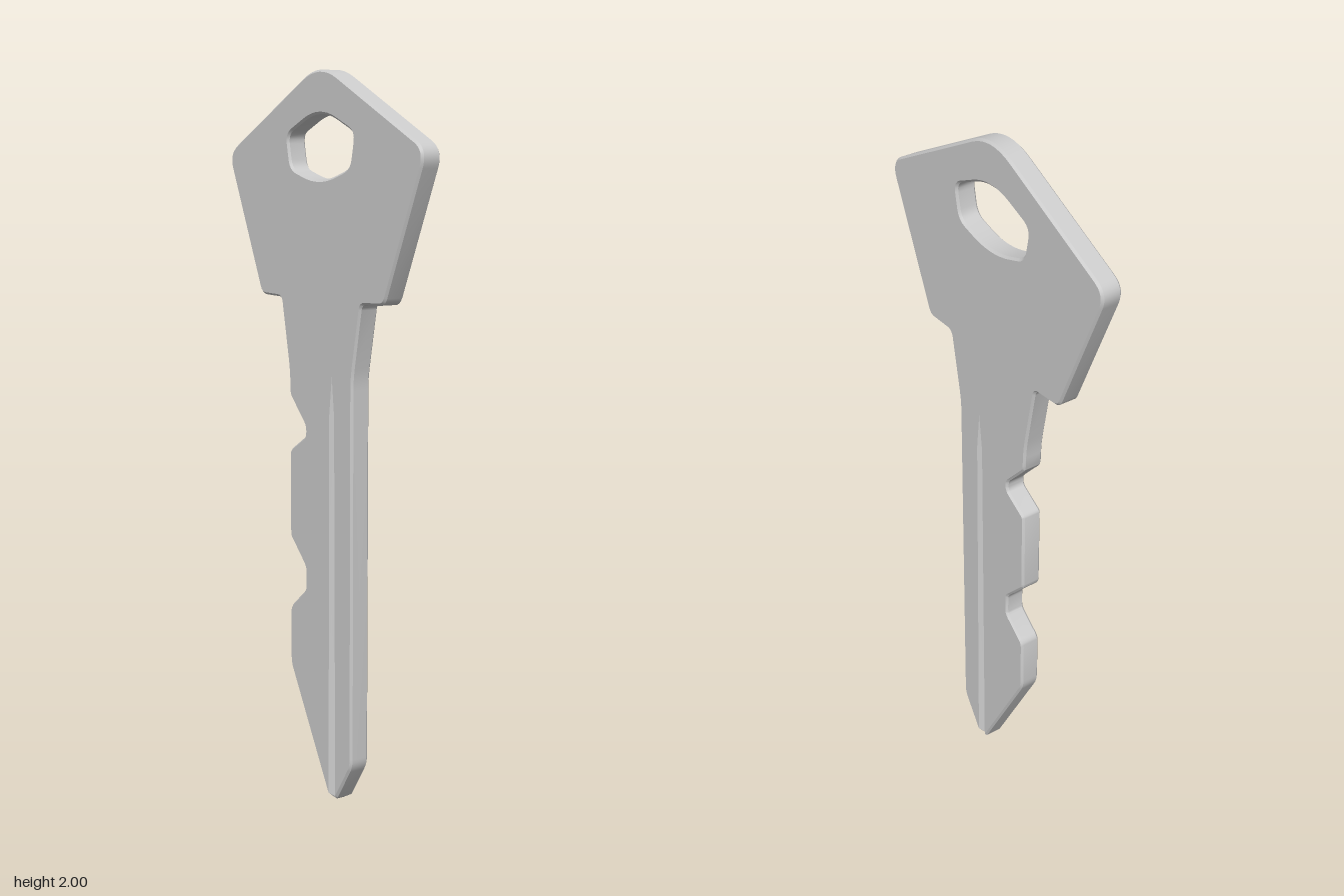
import * as THREE from 'three';
import { toCreasedNormals } from 'three/addons/utils/BufferGeometryUtils.js';

const HALF = 0.03;      // half thickness of the blank
const BEVEL = 0.006;    // softened rim
const FLOOR = 0.016;    // half thickness left under the groove
const V = (z, y) => new THREE.Vector2(z, y);

// Closed contour from corners [z, y, cut]; each corner is rounded by its cut length
function roundedContour(corners) {
  const out = [];
  const n = corners.length;
  corners.forEach(([z, y, cut], i) => {
    const p = V(z, y);
    if (!cut) { out.push(p); return; }
    const toward = (c) => V(c[0], c[1]).sub(p).setLength(cut).add(p);
    const start = toward(corners[(i + n - 1) % n]);
    const end = toward(corners[(i + 1) % n]);
    out.push(...new THREE.QuadraticBezierCurve(start, p, end).getPoints(cut > 0.04 ? 8 : 4));
  });
  return out;
}

// Mitred offset to the left of the walking direction (into the metal)
function inset(points, d) {
  const n = points.length;
  return points.map((p, i) => {
    const a = p.clone().sub(points[(i + n - 1) % n]).normalize();
    const b = points[(i + 1) % n].clone().sub(p).normalize();
    const na = V(-a.y, a.x), nb = V(-b.y, b.x);
    const m = na.clone().add(nb).normalize();
    return m.multiplyScalar(d / Math.max(0.6, m.dot(na))).add(p);
  });
}

const mirror = (half) => half.map(([z, y, c]) => [-z, y, c]).reverse();

function keyGeometry() {
  const head = [[-0.45, 1.786, 0.05], [-0.283, 1.393, 0.02], [-0.185, 1.39, 0.015], [-0.147, 1.19, 0.03]];
  const teeth = [
    [-0.144, 1.12, 0.01], [-0.069, 1.04, 0.012], [-0.069, 1.012, 0.012], [-0.144, 0.965, 0.01],
    [-0.144, 0.72, 0.01], [-0.069, 0.642, 0.012], [-0.069, 0.578, 0.012], [-0.144, 0.515, 0.015],
    [-0.144, 0.35, 0.02],
  ];
  const tip = [[0.038, 0.012, 0], [0.058, 0, 0], [0.078, 0.012, 0], [0.147, 0.12, 0.02]];
  const outline = roundedContour([[0, 2.02, 0.09], ...head, ...teeth, ...tip, ...mirror(head)]);

  // Clockwise, as a hole
  const holeSide = [[0.152, 1.833, 0.025], [0.134, 1.742, 0.025]];
  const hole = roundedContour([[0, 1.9, 0.08], ...holeSide, [0, 1.7, 0.08], ...mirror(holeSide)]);

  const pos = [];
  const put = (p, x) => pos.push(x, p.y, p.x);
  // Triangle facing the given side (+1 or -1 in x); corners are [point, x]
  const facing = (side, a, b, c) => {
    const area = (b[0].x - a[0].x) * (c[0].y - a[0].y) - (b[0].y - a[0].y) * (c[0].x - a[0].x);
    const order = area * side > 0 ? [a, c, b] : [a, b, c];
    order.forEach(([p, x]) => put(p, x));
  };

  // Rim walls with a bevel; the rim dips where the groove runs out at the tip
  const mouth = outline.findIndex((p) => p.x === 0.058 && p.y === 0);
  const wall = (points, dip) => {
    const inner = inset(points, BEVEL);
    const shoulder = (i) => (i === dip ? FLOOR - 0.004 : HALF - BEVEL);
    const face = (i) => (i === dip ? FLOOR : HALF);
    const rings = [
      (i) => [inner[i], -face(i)], (i) => [points[i], -shoulder(i)],
      (i) => [points[i], shoulder(i)], (i) => [inner[i], face(i)],
    ];
    for (let k = 0; k < 3; k++) {
      points.forEach((_, i) => {
        const j = (i + 1) % points.length;
        const [a, b, c, d] = [rings[k](i), rings[k](j), rings[k + 1](j), rings[k + 1](i)];
        [a, c, b, a, d, c].forEach(([p, x]) => put(p, x));
      });
    }
    return inner;
  };
  const rim = wall(outline, mouth);
  const eye = wall(hole, -1);

  // Groove edges, cut out of each flat face
  const right = [rim[mouth - 1], V(0.045, 1.08)];
  const left = [rim[mouth + 1], V(0.068, 1.08)];
  const end = V(0.057, 1.19);
  const floor = [rim[mouth], V(0.057, 1.08)];
  const face = [...rim.slice(0, mouth), right[1], end, left[1], ...rim.slice(mouth + 1)];
  const all = [...face, ...eye];
  const tris = THREE.ShapeUtils.triangulateShape(face, [eye]);

  for (const s of [1, -1]) {
    const top = (p) => [p, s * HALF];
    const low = (p) => [p, s * FLOOR];
    tris.forEach(([a, b, c]) => facing(s, top(all[a]), top(all[b]), top(all[c])));
    // V-shaped groove with a run-out at its upper end
    for (const edge of [right, left]) {
      facing(s, top(edge[0]), top(edge[1]), low(floor[1]));
      facing(s, top(edge[0]), low(floor[1]), low(floor[0]));
      facing(s, top(edge[1]), top(end), low(floor[1]));
    }
  }

  const geometry = new THREE.BufferGeometry();
  geometry.setAttribute('position', new THREE.Float32BufferAttribute(pos, 3));
  return toCreasedNormals(geometry, 0.45);
}

export function createModel() {
  const group = new THREE.Group();
  group.name = 'key';
  const blank = new THREE.Mesh(keyGeometry(), new THREE.MeshStandardMaterial({ color: 0xcccccc }));
  blank.name = 'keyBlank';
  group.add(blank);
  return group;
}
